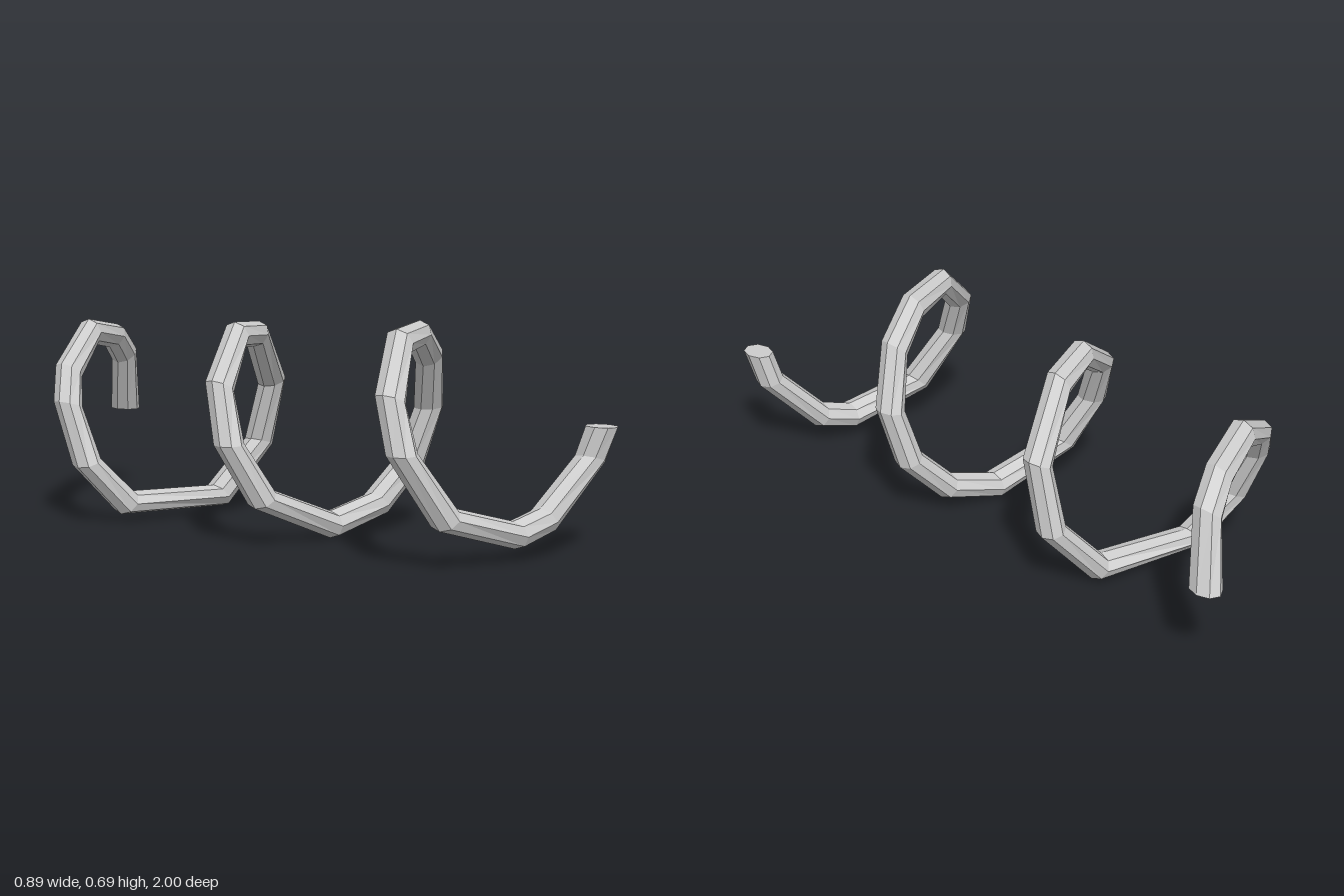
import * as THREE from 'three';

// Angles (degrees) of the bends in each of the three turns
const TURNS = [
  [0, 19, 63, 84, 132, 175, 205, 249, 286, 316, 352],
  [25, 58, 91, 140, 176, 210, 257, 290, 338],
  [18, 60, 125, 160, 196, 218, 261, 297, 319, 360],
];
const SIDES = 8;
const COIL_RADIUS = 0.302;

// One oval ring of the wire at a given total angle along the tilted helix
function ring(degrees, halfDepth) {
  const a = THREE.MathUtils.degToRad(degrees);
  const t = degrees / 360;
  const center = new THREE.Vector3(
    0.088 - 0.083 * t + COIL_RADIUS * Math.cos(a),
    0.4 - 0.033 * t - COIL_RADIUS * Math.sin(a),
    0.944 - 0.629 * t + 0.036 * (1 - Math.cos(a)) + 0.016 * Math.sin(a)
  );
  const radial = new THREE.Vector3(Math.cos(a), -Math.sin(a), -0.12 * Math.cos(a));
  const axial = new THREE.Vector3(0.1, 0, 1);
  const points = [];
  for (let j = 0; j < SIDES; j++) {
    const p = (j / SIDES) * Math.PI * 2;
    points.push(center.clone()
      .addScaledVector(radial, 0.043 * Math.cos(p))
      .addScaledVector(axial, halfDepth * Math.sin(p)));
  }
  return { center, points };
}

function coilGeometry() {
  const angles = TURNS.flatMap((turn, i) => turn.map((d) => d + 360 * i));
  const last = angles.length - 1;
  const rings = angles.map((d, i) => ring(d, i === 0 || i === last ? 0.055 : 0.051));
  const positions = [];
  const tri = (...corners) => corners.forEach((v) => positions.push(v.x, v.y, v.z));

  // Wire surface, then a flat cap at each end
  for (let j = 0; j < SIDES; j++) {
    const k = (j + 1) % SIDES;
    for (let i = 0; i < last; i++) {
      const a = rings[i].points, b = rings[i + 1].points;
      tri(a[j], a[k], b[k]);
      tri(a[j], b[k], b[j]);
    }
    tri(rings[0].center, rings[0].points[k], rings[0].points[j]);
    tri(rings[last].center, rings[last].points[j], rings[last].points[k]);
  }
  const geometry = new THREE.BufferGeometry();
  geometry.setAttribute('position', new THREE.Float32BufferAttribute(positions, 3));
  geometry.computeVertexNormals();
  return geometry;
}

export function createModel() {
  const group = new THREE.Group();
  group.name = 'spring';
  const material = new THREE.MeshStandardMaterial({ color: 0xcccccc, flatShading: true });
  const coil = new THREE.Mesh(coilGeometry(), material);
  coil.name = 'coil';
  group.add(coil);
  return group;
}
